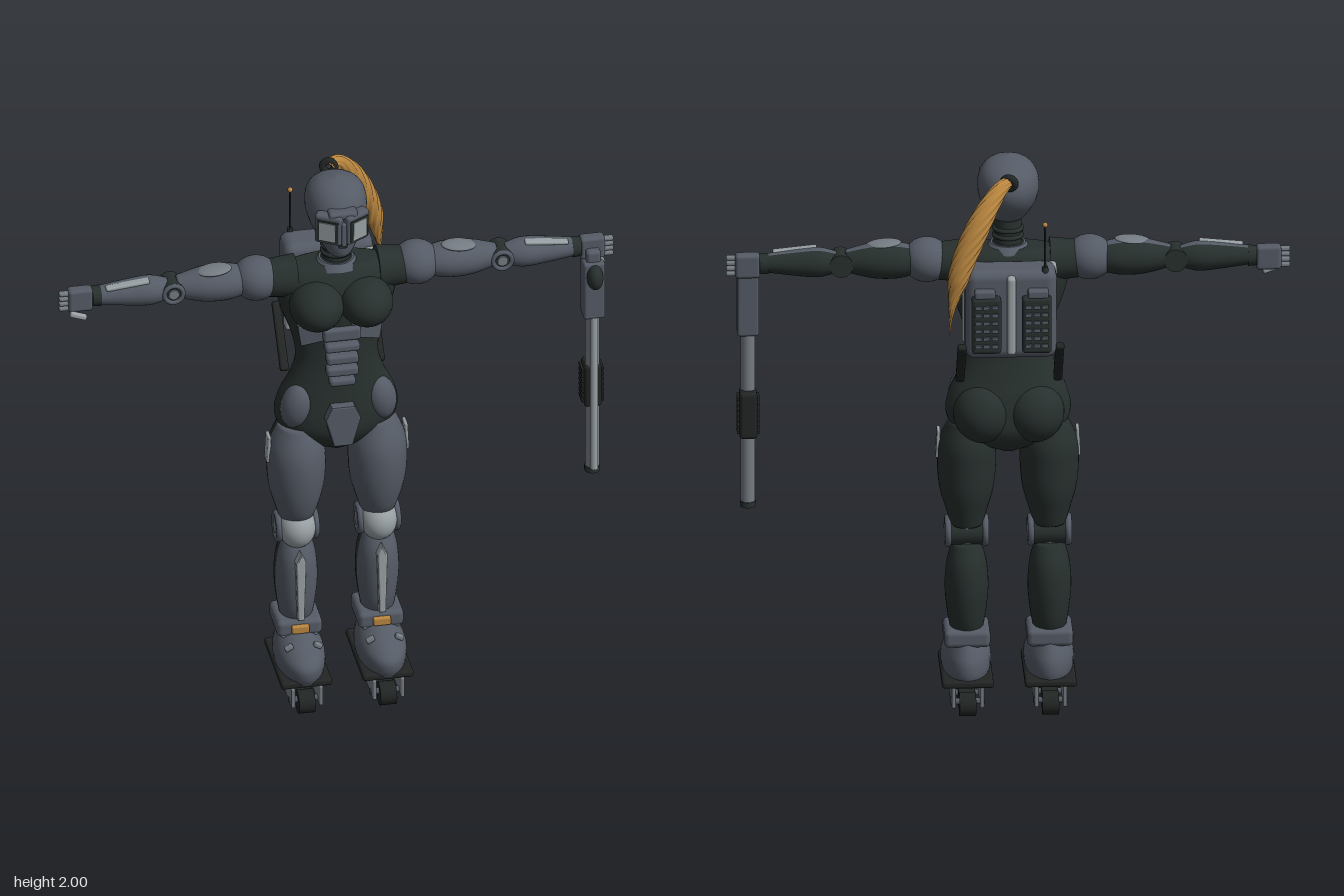
import * as THREE from 'three';
import { RoundedBoxGeometry } from 'three/addons/geometries/RoundedBoxGeometry.js';

const mat = (name, color) => Object.assign(new THREE.MeshStandardMaterial({ color }), { name });
const steel = mat('steel grey', 0x555b66);
const suit = mat('dark suit', 0x27302e);
const light = mat('pale metal', 0x9aa2a5);
const mid = mat('mid metal', 0x757c83);
const rubber = mat('black rubber', 0x212524);
const amber = mat('amber', 0xb9863f);

function add(parent, name, geo, material, pos = [0, 0, 0], rot = [0, 0, 0]) {
  const m = new THREE.Mesh(geo, material);
  m.name = name;
  m.position.set(...pos);
  m.rotation.set(...rot);
  parent.add(m);
  return m;
}
const box = (w, h, d) => new THREE.BoxGeometry(w, h, d);
const rbox = (w, h, d, r = 0.012) => new RoundedBoxGeometry(w, h, d, 2, r);
const cyl = (r1, r2, h, n = 24) => new THREE.CylinderGeometry(r1, r2, h, n);
const ball = (x, y, z) => new THREE.SphereGeometry(1, 32, 20).scale(x, y, z);
const along = (g) => g.rotateZ(-Math.PI / 2); // turns +y into +x

// Smooth body from ascending rings [y, half width, front z, back z].
// Group 0 holds the front faces, group 1 the rear ones.
function loft(rings, split = 0, n = 32, steps = 24) {
  const spline = [1, 2, 3].map((k) => new THREE.SplineCurve(rings.map((r) => new THREE.Vector2(r[0], r[k]))));
  const p = [], front = [], back = [];
  for (let i = 0; i <= steps; i++) {
    const [w, f, b] = spline.map((s) => s.getPoint(i / steps));
    const c = (f.y + b.y) / 2, d = (f.y - b.y) / 2;
    for (let j = 0; j < n; j++) {
      const a = (j / n) * Math.PI * 2;
      p.push(w.y * Math.cos(a), w.x, c + d * Math.sin(a));
    }
  }
  const low = p.length / 3, top = low + 1;
  for (const r of [rings[0], rings.at(-1)]) p.push(0, r[0], (r[2] + r[3]) / 2);
  for (let j = 0; j < n; j++) {
    const list = Math.sin(((j + 0.5) / n) * Math.PI * 2) > split ? front : back;
    const k = (j + 1) % n, e = steps * n;
    for (let i = 0; i < steps; i++) {
      const a = i * n + j, b = i * n + k;
      list.push(a, a + n, b, b, a + n, b + n);
    }
    list.push(low, j, k, top, e + k, e + j);
  }
  const g = new THREE.BufferGeometry();
  g.setAttribute('position', new THREE.Float32BufferAttribute(p, 3));
  g.setIndex([...front, ...back]);
  g.addGroup(0, front.length, 0);
  g.addGroup(front.length, back.length, 1);
  g.computeVertexNormals();
  return g;
}

// Flat armour plate from an outline
function plate(points, depth) {
  const s = new THREE.Shape(points.map((q) => new THREE.Vector2(...q)));
  return new THREE.ExtrudeGeometry(s, { depth, bevelEnabled: true, bevelSize: 0.006, bevelThickness: 0.008, bevelSegments: 2 });
}

// Reflected copy of a group across x = 0, with the face order corrected
function mirrored(group, name) {
  const out = new THREE.Group();
  out.name = name;
  group.updateMatrixWorld(true);
  group.traverse((m) => {
    if (!m.isMesh) return;
    const g = m.geometry.clone().applyMatrix4(m.matrixWorld).scale(-1, 1, 1);
    if (!g.index) g.setIndex([...Array(g.attributes.position.count).keys()]);
    const ix = g.index.array;
    for (let i = 0; i < ix.length; i += 3) [ix[i + 1], ix[i + 2]] = [ix[i + 2], ix[i + 1]];
    add(out, m.name, g, m.material);
  });
  return out;
}

function buildHead(g) {
  add(g, 'helmet', loft([[1.73, 0.025, 0.13, 0.06], [1.75, 0.046, 0.15, 0.03], [1.8, 0.076, 0.158, -0.04],
    [1.85, 0.097, 0.155, -0.085], [1.9, 0.105, 0.158, -0.1], [1.95, 0.094, 0.135, -0.08], [1.985, 0.06, 0.095, -0.025], [2, 0.004, 0.045, 0.035]]), steel);
  add(g, 'neck', cyl(0.045, 0.05, 0.12), suit, [0, 1.71, 0.04]);
  for (const y of [1.68, 1.71, 1.735]) add(g, 'neckRing', new THREE.TorusGeometry(0.047, 0.008, 8, 28).rotateX(Math.PI / 2), suit, [0, y, 0.04]);
  add(g, 'collar', cyl(0.06, 0.08, 0.025), steel, [0, 1.672, 0.04]);
  // goggle frames wrap round each side of the face
  for (const s of [-1, 1]) {
    const eye = new THREE.Group();
    eye.name = 'goggle';
    eye.position.set(s * 0.045, 1.865, 0.15);
    eye.rotation.set(0.06, s * 0.5, 0);
    add(eye, 'goggleFrame', rbox(0.095, 0.115, 0.04, 0.012), steel);
    add(eye, 'goggleRecess', box(0.075, 0.085, 0.006), suit, [0, -0.003, 0.019]);
    add(eye, 'lens', box(0.056, 0.07, 0.006), light, [0, -0.003, 0.022]);
    g.add(eye);
  }
  add(g, 'brow', rbox(0.1, 0.03, 0.05), steel, [0, 1.918, 0.152]);
  add(g, 'noseBridge', rbox(0.018, 0.09, 0.03, 0.006), steel, [0, 1.85, 0.172]);
  add(g, 'mouthVent', rbox(0.03, 0.018, 0.02, 0.006), suit, [0, 1.795, 0.157]);
  // ponytail of bundled strands
  const curve = new THREE.CatmullRomCurve3([[0, 1.95, -0.09], [0.03, 1.945, -0.135], [0.09, 1.87, -0.19],
    [0.165, 1.71, -0.23], [0.2, 1.57, -0.245], [0.212, 1.46, -0.253]].map((v) => new THREE.Vector3(...v)));
  const hair = new THREE.TubeGeometry(curve, 40, 1, 40, false);
  const p = hair.attributes.position, v = new THREE.Vector3();
  for (let i = 0; i < p.count; i++) {
    const t = Math.floor(i / 41) / 40, c = curve.getPointAt(t);
    const r = (0.018 + 0.024 * Math.sin(Math.PI * Math.min(1, t * 1.1))) * Math.min(1, (1.02 - t) * 3);
    v.fromBufferAttribute(p, i).sub(c).multiplyScalar(r * (i % 4 < 2 ? 1 : 0.9)).add(c);
    p.setXYZ(i, v.x, v.y, v.z);
  }
  hair.computeVertexNormals();
  add(g, 'ponytail', hair, amber);
  add(g, 'hairTie', new THREE.TorusGeometry(0.02, 0.013, 10, 24), rubber, [0.003, 1.949, -0.105], [-0.2, -0.3, 0]);
}

function buildTorso(g) {
  add(g, 'bodySuit', loft([[0.94, 0.03, 0.07, 0.0], [0.975, 0.12, 0.11, -0.05], [1.03, 0.19, 0.14, -0.08], [1.09, 0.212, 0.145, -0.08],
    [1.16, 0.198, 0.14, -0.07], [1.23, 0.165, 0.135, -0.05], [1.31, 0.142, 0.13, -0.035], [1.4, 0.155, 0.13, -0.045],
    [1.5, 0.19, 0.14, -0.06], [1.59, 0.21, 0.14, -0.06], [1.65, 0.2, 0.115, -0.045], [1.675, 0.14, 0.09, -0.02]], 0, 40, 44), suit);
  for (const s of [-1, 1]) {
    add(g, 'bust', ball(0.092, 0.085, 0.108), suit, [s * 0.085, 1.55, 0.128]);
    add(g, 'glute', ball(0.1, 0.105, 0.095), suit, [s * 0.088, 1.09, -0.018]);
    add(g, 'ribPlate', plate([[s * 0.06, 1.41], [s * 0.13, 1.39], [s * 0.14, 1.46], [s * 0.03, 1.47]].sort(() => 0), 0.02), steel, [0, 0, 0.118], [0, s * 0.22, 0]);
    add(g, 'hipPlate', ball(0.055, 0.085, 0.05), steel, [s * 0.145, 1.135, 0.085], [0, s * 0.5, s * 0.2]);
  }
  add(g, 'sternumPlate', rbox(0.13, 0.05, 0.04), steel, [0, 1.435, 0.135]);
  [[1.388, 0.12, 0.032], [1.342, 0.11, 0.036], [1.295, 0.11, 0.036], [1.253, 0.09, 0.03]]
    .forEach(([y, w, h]) => add(g, 'abdomenPlate', rbox(w, h, 0.045), steel, [0, y, 0.143]));
  add(g, 'loinPlate', plate([[-0.035, 1.155], [-0.055, 1.11], [-0.028, 1.012], [0.028, 1.012], [0.055, 1.11], [0.035, 1.155]], 0.028), steel, [0, 0, 0.135]);
}

function buildPack(g) {
  add(g, 'packBody', rbox(0.31, 0.32, 0.13, 0.035), steel, [0, 1.505, -0.135]);
  add(g, 'packSpine', rbox(0.03, 0.28, 0.04), light, [0, 1.51, -0.205]);
  add(g, 'packMount', rbox(0.2, 0.22, 0.07), suit, [0, 1.5, -0.06]);
  for (const s of [-1, 1]) {
    add(g, 'ventPod', rbox(0.1, 0.2, 0.055, 0.012), suit, [s * 0.085, 1.48, -0.208]);
    for (let i = 0; i < 6; i++) for (const k of [-1, 0, 1])
      add(g, 'ventSlat', box(0.022, 0.012, 0.012), steel, [s * 0.085 + k * 0.028, 1.41 + i * 0.028, -0.236]);
    add(g, 'ventClip', rbox(0.07, 0.03, 0.04, 0.008), steel, [s * 0.09, 1.59, -0.21]);
    add(g, 'backRail', rbox(0.04, 0.28, 0.045), light, [s * 0.14, 1.5, -0.052]);
    add(g, 'packStrut', rbox(0.03, 0.24, 0.025, 0.008), rubber, [s * 0.165, 1.3, -0.1], [-0.72, 0, 0]);
  }
  add(g, 'antenna', cyl(0.003, 0.004, 0.2, 8), rubber, [-0.115, 1.73, -0.18]);
  add(g, 'antennaBase', cyl(0.01, 0.012, 0.03, 12), suit, [-0.115, 1.66, -0.18]);
  add(g, 'antennaTip', ball(0.009, 0.009, 0.009), amber, [-0.115, 1.825, -0.18]);
}

function buildArm() {
  const g = new THREE.Group(), Y = 1.625, Z = 0.035;
  add(g, 'armpit', along(cyl(0.06, 0.075, 0.14)), suit, [0.21, Y - 0.005, Z]);
  add(g, 'shoulder', ball(0.082, 0.077, 0.08), steel, [0.275, 1.626, Z]);
  add(g, 'upperArm', along(loft([[0.32, 0.05, 0.055, -0.055], [0.38, 0.062, 0.068, -0.066], [0.46, 0.06, 0.064, -0.06], [0.55, 0.038, 0.038, -0.036]], -0.3)), [steel, suit], [0, Y, Z]);
  add(g, 'upperArmTrim', ball(0.06, 0.012, 0.04), mid, [0.42, Y + 0.056, Z + 0.01], [0, 0, -0.08]);
  add(g, 'elbow', cyl(0.04, 0.04, 0.085).rotateX(Math.PI / 2), suit, [0.565, 1.62, Z]);
  add(g, 'elbowRing', new THREE.TorusGeometry(0.032, 0.008, 10, 28), steel, [0.565, 1.62, Z + 0.043]);
  add(g, 'elbowCap', cyl(0.018, 0.018, 0.01).rotateX(Math.PI / 2), mid, [0.565, 1.62, Z + 0.044]);
  add(g, 'forearm', along(loft([[0.58, 0.036, 0.038, -0.036], [0.64, 0.051, 0.052, -0.05], [0.72, 0.045, 0.046, -0.044], [0.83, 0.03, 0.032, -0.03]], -0.3)), [steel, suit], [0, 1.622, Z]);
  add(g, 'forearmTrim', rbox(0.15, 0.014, 0.03, 0.006), light, [0.72, 1.662, Z + 0.018], [0, 0, -0.1]);
  add(g, 'wristCuff', along(cyl(0.034, 0.036, 0.03)), suit, [0.825, 1.62, Z]);
  add(g, 'palm', rbox(0.085, 0.085, 0.045), steel, [0.88, 1.615, Z]);
  for (let i = 0; i < 4; i++) add(g, 'finger', rbox(0.04, 0.015, 0.022, 0.006), mid, [0.933, 1.585 + i * 0.019, Z + 0.003]);
  add(g, 'thumb', rbox(0.06, 0.02, 0.02, 0.007), light, [0.89, 1.563, Z + 0.025], [0, 0, 0.35]);
  return g;
}

function buildLeg() {
  const g = new THREE.Group(), X = 0.14;
  add(g, 'thigh', loft([[0.67, 0.055, 0.1, -0.02], [0.72, 0.07, 0.132, -0.035], [0.8, 0.092, 0.155, -0.056], [0.89, 0.1, 0.164, -0.063], [0.97, 0.094, 0.155, -0.065], [1.05, 0.06, 0.12, -0.04]]), [steel, suit], [X, 0, 0]);
  add(g, 'thighTrim', rbox(0.012, 0.1, 0.05, 0.005), light, [0.237, 0.96, 0.05], [0, 0, 0.05]);
  add(g, 'kneeJoint', along(cyl(0.05, 0.05, 0.13)), suit, [X, 0.64, 0.045]);
  add(g, 'kneePad', ball(0.064, 0.075, 0.07), light, [X, 0.645, 0.068]);
  for (const s of [-1, 1]) {
    const x = X + s * 0.063;
    add(g, 'kneeRing', new THREE.TorusGeometry(0.044, 0.012, 10, 32).rotateY(Math.PI / 2), steel, [x, 0.64, 0.045]);
    add(g, 'kneeHub', along(cyl(0.026, 0.026, 0.02)), mid, [x, 0.64, 0.045]);
  }
  add(g, 'shin', loft([[0.28, 0.052, 0.1, -0.015], [0.34, 0.064, 0.122, -0.035], [0.44, 0.074, 0.13, -0.048], [0.53, 0.068, 0.125, -0.042], [0.6, 0.05, 0.095, -0.01]], 0.15), [steel, suit], [X, 0, 0]);
  add(g, 'shinGuard', plate([[-0.006, 0.32], [0.006, 0.32], [0.012, 0.54], [0, 0.57], [-0.012, 0.54]], 0.02), light, [X, 0, 0.118]);
  // skate boot
  add(g, 'bootCuff', rbox(0.156, 0.062, 0.16, 0.018), steel, [X, 0.272, 0.045]);
  add(g, 'buckle', rbox(0.06, 0.03, 0.022, 0.006), amber, [X, 0.274, 0.128]);
  add(g, 'bootShell', loft([[0.115, 0.075, 0.245, -0.055], [0.15, 0.084, 0.262, -0.066], [0.19, 0.084, 0.26, -0.064], [0.225, 0.07, 0.215, -0.05], [0.26, 0.045, 0.13, -0.03]]), steel, [X, 0, 0]);
  for (const z of [0.13, 0.2]) for (const s of [-1, 1])
    add(g, 'bootClip', rbox(0.03, 0.018, 0.022, 0.006), mid, [X + s * 0.05, 0.25 - (z - 0.13) * 0.2, z - 0.02], [0, 0, -s * 0.5]);
  add(g, 'sole', rbox(0.175, 0.026, 0.315, 0.01), rubber, [X, 0.122, 0.088]);
  for (const s of [-1, 1]) add(g, 'wheelFrame', rbox(0.014, 0.075, 0.32, 0.005), mid, [X + s * 0.048, 0.076, 0.092]);
  for (let i = 0; i < 4; i++) {
    const z = 0.215 - i * 0.082;
    add(g, 'wheel', along(cyl(0.041, 0.041, 0.056)), rubber, [X, 0.041, z]);
    add(g, 'axle', along(cyl(0.011, 0.011, 0.116, 12)), steel, [X, 0.052, z]);
  }
  return g;
}

function buildGun(g) {
  const x = 0.878;
  add(g, 'gunBody', rbox(0.074, 0.22, 0.075, 0.01), steel, [x, 1.47, 0.06]);
  add(g, 'gunNeck', rbox(0.05, 0.08, 0.05), steel, [x, 1.58, 0.06]);
  add(g, 'gunGrip', ball(0.028, 0.045, 0.04), suit, [x, 1.53, 0.1]);
  add(g, 'barrel', cyl(0.024, 0.024, 0.63), mid, [x, 1.055, 0.052]);
  add(g, 'lowerTube', cyl(0.014, 0.014, 0.6), light, [x, 1.065, 0.085]);
  add(g, 'muzzle', cyl(0.027, 0.027, 0.02), suit, [x, 0.75, 0.052]);
  add(g, 'foregrip', rbox(0.06, 0.165, 0.075, 0.012), rubber, [x, 1.08, 0.036]);
  for (let i = 0; i < 7; i++) add(g, 'gripRib', box(0.076, 0.01, 0.055), rubber, [x, 1.02 + i * 0.02, 0.036]);
}

export function createModel() {
  const root = new THREE.Group();
  root.name = 'armouredSkater';
  const parts = { head: buildHead, torso: buildTorso, backpack: buildPack, gun: buildGun };
  for (const [name, build] of Object.entries(parts)) {
    const g = new THREE.Group();
    g.name = name;
    build(g);
    root.add(g);
  }
  for (const [name, build] of Object.entries({ Arm: buildArm, Leg: buildLeg })) {
    const g = build();
    g.name = 'left' + name;
    root.add(g, mirrored(g, 'right' + name));
  }
  return root;
}
